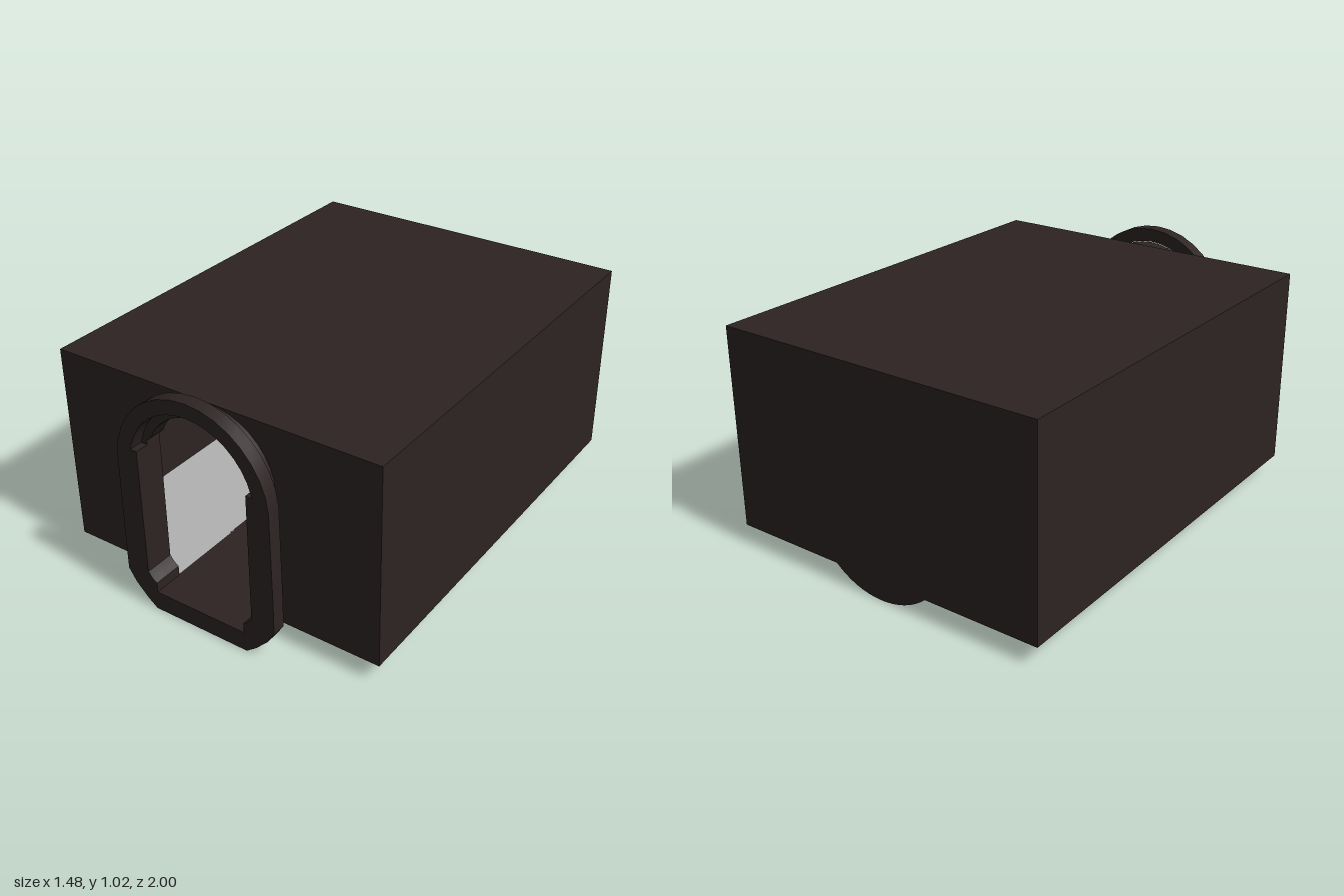
import * as THREE from 'three';
import { toCreasedNormals } from 'three/addons/utils/BufferGeometryUtils.js';

// Circular segment from x = +half to x = -half, rising (or sagging) from y0 to y1
function arc(half, y0, y1, n = 16) {
  const s = Math.abs(y1 - y0), sign = Math.sign(y1 - y0);
  const r = (half * half + s * s) / (2 * s), a = Math.asin(Math.min(1, half / r));
  return Array.from({ length: n + 1 }, (_, i) => {
    const t = a - (2 * a * i) / n;
    return [r * Math.sin(t), y0 + sign * (r * Math.cos(t) - r + s)];
  });
}

// Closed outline: right side going up, arch across, mirrored left side going down
const outline = (side, arch) => [...side, ...arch, ...side.map(([x, y]) => [-x, y]).reverse()];
const vectors = (pts) => pts.map(([x, y]) => new THREE.Vector2(x, y));

export function createModel() {
  const group = new THREE.Group();
  const dark = new THREE.MeshStandardMaterial({ color: 0x2d2323, side: THREE.DoubleSide });
  dark.name = 'dark brown';
  const pale = new THREE.MeshStandardMaterial({ color: 0xb2b2b2, side: THREE.DoubleSide });
  pale.name = 'pale grey';

  const add = (name, geometry, material, x = 0, y = 0, z = 0) => {
    const mesh = new THREE.Mesh(geometry, material);
    mesh.name = name;
    mesh.position.set(x, y, z);
    group.add(mesh);
    return mesh;
  };
  const extrude = (shape, depth) => toCreasedNormals(
    new THREE.ExtrudeGeometry(shape, { depth, bevelEnabled: false }), 0.5);

  const W = 0.74, base = 0.085, top = 0.96, back = -1, wallZ = 0.87, neckZ = 0.94;
  const length = wallZ - back, midZ = (wallZ + back) / 2, midY = (base + top) / 2;

  // Hollow body: roof, back and side walls
  add('roof', new THREE.PlaneGeometry(2 * W, length).rotateX(-Math.PI / 2), dark, 0, top, midZ);
  add('backWall', new THREE.PlaneGeometry(2 * W, top - base).rotateY(Math.PI), dark, 0, midY, back);
  for (const s of [-1, 1]) {
    const label = s > 0 ? 'left' : 'right';
    add(label + 'Wall', new THREE.PlaneGeometry(length, top - base).rotateY(s * Math.PI / 2),
      dark, s * W, midY, midZ);
    // Pale floor beside the central trough
    const inner = 0.22;
    add(label + 'Floor', new THREE.PlaneGeometry(W - inner, length).rotateX(-Math.PI / 2),
      pale, s * (W + inner) / 2, base, midZ);
  }

  // Doorway through the front wall and neck
  const doorSide = [[0.215, base], [0.215, 0.13], [0.235, 0.145], [0.255, 0.17],
    [0.255, 0.75]];
  const door = outline(doorSide, arc(0.235, 0.765, 0.92));

  // Front wall notched by the doorway
  const wall = [[-W, base], [-W, top], [W, top], [W, base], ...door];
  add('frontWall', new THREE.ShapeGeometry(new THREE.Shape(vectors(wall))), dark, 0, 0, wallZ);

  // Neck joining the wall to the flange
  const neckOuter = outline([[0.22, base], [0.255, 0.115], [0.285, 0.175], [0.285, 0.73]],
    arc(0.284, 0.735, 0.958));
  const neck = new THREE.Shape(vectors([...neckOuter, ...door.slice().reverse()]));
  add('neck', extrude(neck, neckZ - wallZ), dark, 0, 0, wallZ);

  // Rounded trough under the floor
  const trough = new THREE.Shape(vectors(arc(0.225, base, 0)));
  add('trough', extrude(trough, neckZ - back), dark, 0, 0, back);

  // Flange around the entrance, its arch stepped wider than the doorway
  const flange = new THREE.Shape(vectors(outline(
    [[0.225, 0], [0.27, 0.035], [0.325, 0.09], [0.36, 0.145], [0.36, 0.3]],
    arc(0.355, 0.69, 1.02))));
  flange.holes.push(new THREE.Path(vectors(outline(
    [...doorSide.slice(0, 4), [0.255, 0.73], [0.285, 0.73]],
    arc(0.28, 0.745, 0.96)))));
  add('flange', extrude(flange, 1 - neckZ), dark, 0, 0, neckZ);

  return group;
}
